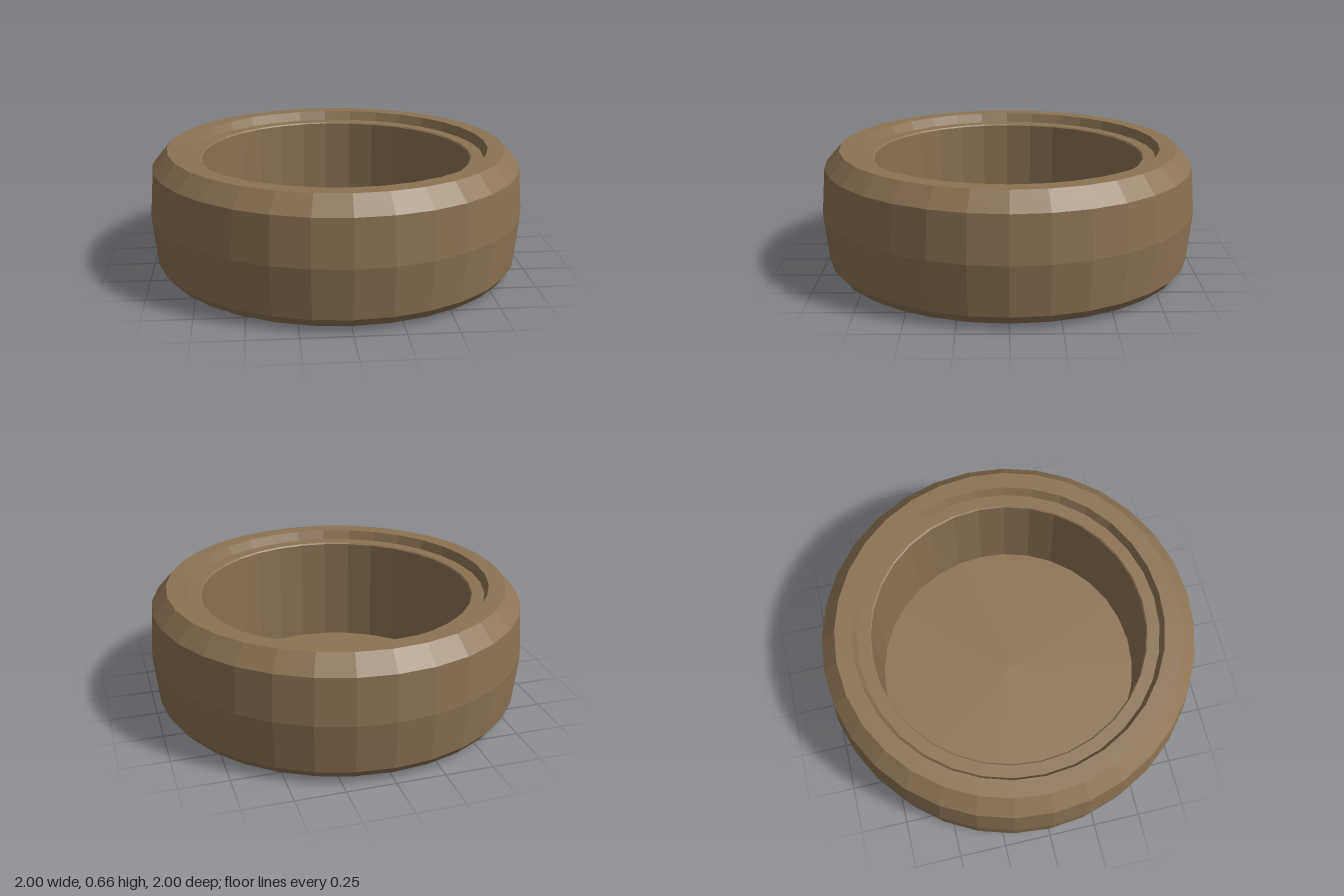
import * as THREE from 'three';

const SIDES = 32;

export function createModel() {
  const group = new THREE.Group();
  group.name = 'roundDish';
  const material = new THREE.MeshStandardMaterial({ color: 0x8b7355, flatShading: true });

  // Turns a profile of [radius, height] points into a named, faceted part
  const turned = (name, profile) => {
    const points = profile.map(([r, y]) => new THREE.Vector2(r, y));
    const mesh = new THREE.Mesh(new THREE.LatheGeometry(points, SIDES), material);
    mesh.name = name;
    group.add(mesh);
  };

  // Underside with a soft bevel
  turned('base', [[0, 0], [0.86, 0], [0.94, 0.025], [0.975, 0.07]]);
  // Bulging outer wall with a chamfered shoulder
  turned('outerWall', [[0.975, 0.07], [1, 0.33], [0.98, 0.57], [0.9, 0.66]]);
  // Flat rim, stepping down to a recessed ledge
  turned('rim', [[0.9, 0.66], [0.81, 0.66], [0.79, 0.61], [0.725, 0.61], [0.718, 0.603]]);
  // Hollow inside
  turned('innerWall', [[0.718, 0.603], [0.718, 0.012]]);
  turned('floor', [[0.718, 0.012], [0, 0.012]]);

  return group;
}
